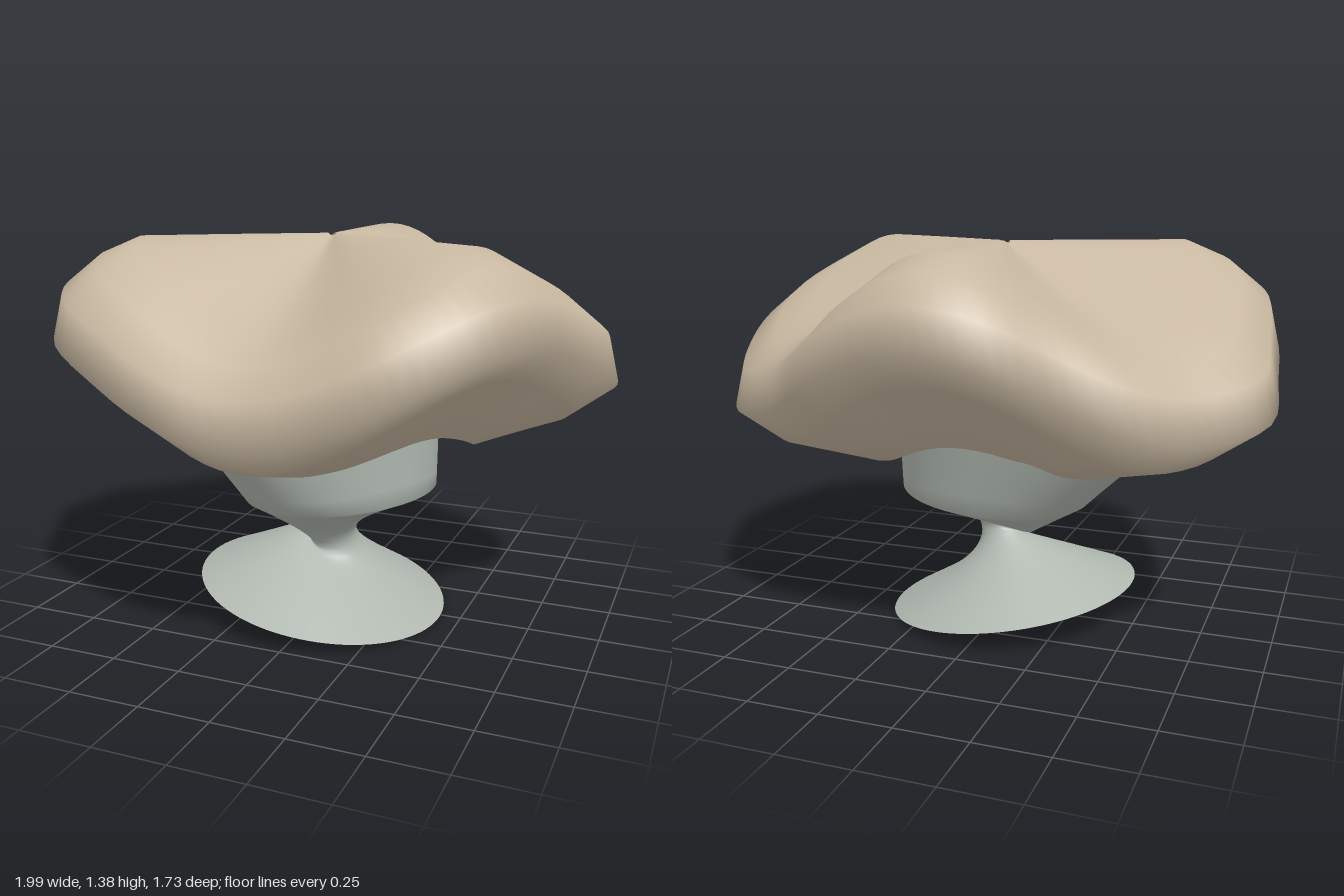
import * as THREE from 'three';

const SEG = 96;
const WAVE = (t) => -Math.cos(3 * t); // three drooping and three raised lobes

// Surface through closed rings: at(row, angle) gives a point, angle 0 faces +z
function loft(name, rows, at, color) {
  const pos = [], idx = [];
  for (let i = 0; i < rows; i++) {
    for (let j = 0; j < SEG; j++) pos.push(...at(i, (j / SEG) * Math.PI * 2));
  }
  for (let i = 0; i < rows - 1; i++) {
    for (let j = 0; j < SEG; j++) {
      const k = (j + 1) % SEG;
      const a = i * SEG + j, b = a + SEG, c = b - j + k, d = i * SEG + k;
      idx.push(a, b, c, a, c, d);
    }
  }
  const geo = new THREE.BufferGeometry();
  geo.setAttribute('position', new THREE.Float32BufferAttribute(pos, 3));
  geo.setIndex(idx);
  geo.computeVertexNormals();
  const mesh = new THREE.Mesh(geo, new THREE.MeshStandardMaterial({ color, side: THREE.DoubleSide }));
  mesh.name = name;
  return mesh;
}

// Cap outline radius every 15 degrees
const RADII = [.85, .87, .94, .955, .945, .94, 1, .985, .95, .865, .86, .86,
  .87, .86, .83, .88, .93, 1.015, .97, .965, .945, .985, .93, .885];
const outline = new THREE.CatmullRomCurve3(RADII.map((r, i) => {
  const t = (i * Math.PI) / 12;
  return new THREE.Vector3(r * Math.sin(t), 0, r * Math.cos(t));
}), true, 'catmullrom', 0.5);

function createCap() {
  // Each ring: share of the radius, height, wave height
  const rings = [
    [.02, 1.38, .004], [.36, 1.31, .073], [.71, 1.238, .143], [.85, 1.18, .145], [.965, 1.092, .145],
    [1, .945, .145], [.84, .835, .145], [.68, .755, .105], [.52, .67, .06], [.42, .69, .04],
  ];
  return loft('cap', rings.length, (i, t) => {
    const [s, y, amp] = rings[i];
    const p = outline.getPoint((t / (Math.PI * 2)) % 1);
    return [p.x * s, y + amp * WAVE(t), p.z * s];
  }, 0xc8b8a1);
}

function createStem() {
  const TWIST = THREE.MathUtils.degToRad(155);
  // Wavy rim under the cap, bowl, and tilted foot
  const rim = (t) => new THREE.Vector3(
    -.095 + .485 * Math.sin(t), .71 + .05 * WAVE(t), .03 + .46 * Math.cos(t));
  const bowl = (t) => new THREE.Vector3(
    .04 + .35 * Math.sin(t), .46 + .03 * Math.sin(t), .03 + .36 * Math.cos(t));
  const foot = (t) => {
    const x = .455 * Math.sin(t + TWIST);
    return new THREE.Vector3(x - .03, .073 - .158 * x, .03 + .47 * Math.cos(t + TWIST));
  };
  // Straight rulings from bowl to twisted foot draw the narrow neck
  const UP = 4, DOWN = 24;
  return loft('twistedStem', UP + DOWN + 1, (i, t) => (i < UP
    ? rim(t).lerp(bowl(t), i / UP)
    : bowl(t).lerp(foot(t), (i - UP) / DOWN)).toArray(), 0xb0b8b0);
}

export function createModel() {
  const group = new THREE.Group();
  group.name = 'mushroom';
  group.add(createCap(), createStem());
  return group;
}
